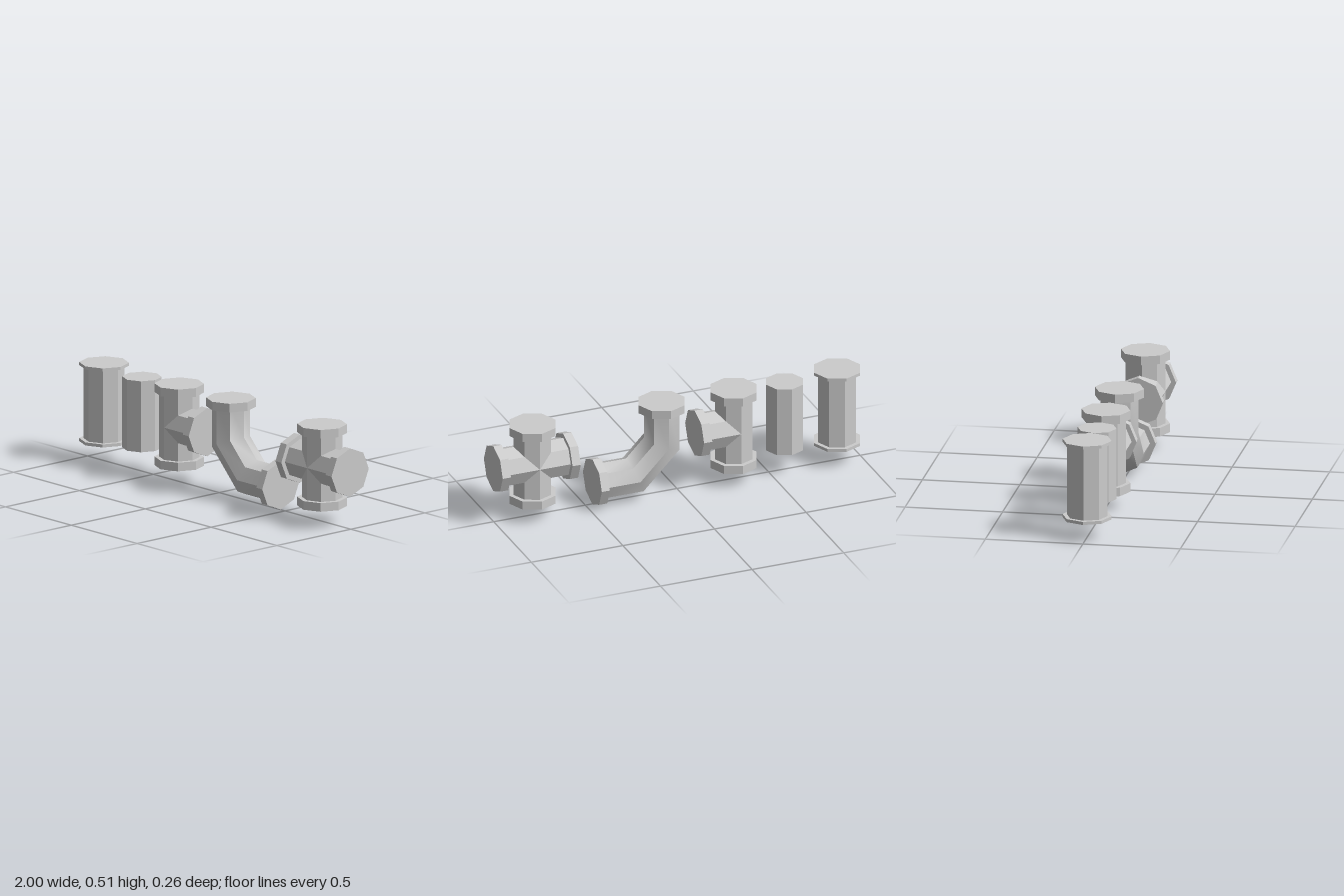
import * as THREE from 'three';

const SIDES = 8;
const flat = new THREE.MeshStandardMaterial({ color: 0xcccccc, flatShading: true });
const smooth = new THREE.MeshStandardMaterial({ color: 0xcccccc });

// Octagonal prism between two points; corners lie on the axes
function prism(parent, name, radius, from, to) {
  const a = new THREE.Vector3(...from), b = new THREE.Vector3(...to);
  const mesh = new THREE.Mesh(new THREE.CylinderGeometry(radius, radius, a.distanceTo(b), SIDES), flat);
  mesh.position.copy(a).add(b).multiplyScalar(0.5);
  if (Math.abs(a.x - b.x) > 1e-4) mesh.rotation.z = Math.PI / 2;
  mesh.name = name;
  parent.add(mesh);
}

function fitting(root, name, x, y, z) {
  const g = new THREE.Group();
  g.name = name;
  g.position.set(x, y, z);
  root.add(g);
  return g;
}

// Octagonal tube with mitred bends along a path in the xy plane, one strip per side
function mitredTube(path, radius) {
  const pts = path.map(p => new THREE.Vector2(...p));
  const normals = [];
  for (let i = 0; i < pts.length - 1; i++) {
    const t = pts[i + 1].clone().sub(pts[i]).normalize();
    normals.push(new THREE.Vector2(-t.y, t.x));
  }
  const rings = pts.map((p, i) => {
    const n0 = normals[Math.max(i - 1, 0)], n1 = normals[Math.min(i, normals.length - 1)];
    const n = n0.clone().add(n1).normalize();
    n.divideScalar(n.dot(n0));
    return { p, n };
  });
  const pos = [], idx = [];
  for (let s = 0; s < SIDES; s++) {
    const base = pos.length / 3;
    for (const { p, n } of rings) {
      for (const k of [s, s + 1]) {
        const a = (k / SIDES) * Math.PI * 2, c = Math.cos(a) * radius;
        pos.push(p.x + n.x * c, p.y + n.y * c, Math.sin(a) * radius);
      }
    }
    for (let r = 0; r < rings.length - 1; r++) {
      const a = base + r * 2;
      idx.push(a, a + 1, a + 2, a + 1, a + 3, a + 2);
    }
  }
  const geo = new THREE.BufferGeometry();
  geo.setAttribute('position', new THREE.Float32BufferAttribute(pos, 3));
  geo.setIndex(idx);
  geo.computeVertexNormals();
  return geo;
}

export function createModel() {
  const root = new THREE.Group();
  root.name = 'pipeSet';
  const R = 0.102, FLANGE = 0.126, HALF = 0.213, LIP = 0.045;

  // Straight pipe with thin end plates
  const straight = fitting(root, 'flangedPipe', -0.874, 0.308, 0);
  prism(straight, 'pipe', 0.104, [0, -0.2, 0], [0, 0.2, 0]);
  for (const s of [-1, 1]) prism(straight, 'endPlate', FLANGE, [0, s * 0.19, 0], [0, s * 0.206, 0]);

  // Plain pipe
  const plain = fitting(root, 'plainPipe', -0.587, 0.31, 0);
  prism(plain, 'pipe', 0.1, [0, -0.185, 0], [0, 0.185, 0]);

  // Tee and cross: an upright pipe with one or two side arms
  const junctions = [
    ['teePipe', -0.308, -0.004, [1]],
    ['crossPipe', 0.787, 0.005, [-1, 1]],
  ];
  for (const [name, x, z, arms] of junctions) {
    const g = fitting(root, name, x, 0.298, z);
    prism(g, 'uprightPipe', R, [0, -HALF + 0.01, 0], [0, HALF - 0.01, 0]);
    for (const s of [-1, 1]) prism(g, 'uprightFlange', FLANGE, [0, s * (HALF - LIP), 0], [0, s * HALF, 0]);
    for (const s of arms) {
      prism(g, 'sideArm', R, [0, 0, 0], [s * (HALF - 0.01), 0, 0]);
      prism(g, 'armFlange', FLANGE, [s * (HALF - LIP), 0, 0], [s * HALF, 0, 0]);
    }
  }

  // Elbow with two mitred bends
  const elbow = fitting(root, 'elbowPipe', 0, 0, -0.004);
  const bend = new THREE.Mesh(mitredTube([[0.085, 0.5], [0.085, 0.285], [0.24, 0.128], [0.45, 0.128]], 0.097), smooth);
  bend.name = 'bentPipe';
  elbow.add(bend);
  prism(elbow, 'topFlange', FLANGE, [0.085, 0.467, 0], [0.085, 0.512, 0]);
  prism(elbow, 'sideFlange', FLANGE, [0.419, 0.128, 0], [0.463, 0.128, 0]);

  return root;
}
